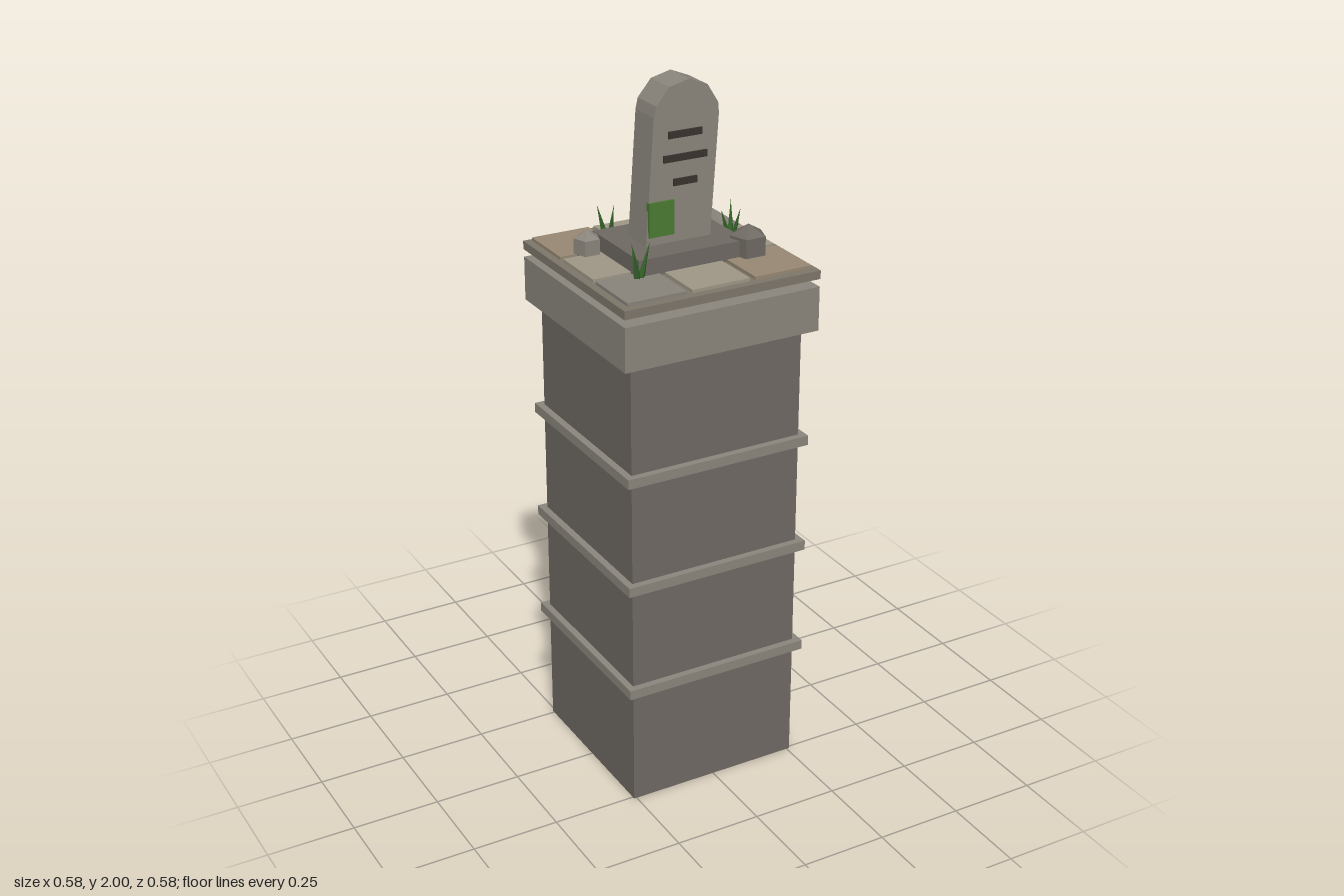
import * as THREE from 'three';

const mat = (color) => new THREE.MeshStandardMaterial({ color, flatShading: true });
const M = {
  dark: mat(0x6e6962), light: mat(0x8a857c), slab: mat(0x7d766a),
  sand: mat(0x978872), pale: mat(0x9e9786), grey: mat(0x88837b),
  ink: mat(0x3a332f), moss: mat(0x4a7a32), grass: mat(0x35622a),
};

export function createModel() {
  const root = new THREE.Group();

  const add = (name, geometry, material, x, y, z) => {
    const mesh = new THREE.Mesh(geometry, material);
    mesh.name = name;
    mesh.position.set(x, y, z);
    root.add(mesh);
    return mesh;
  };
  // box given by its size, bottom height and centre
  const box = (name, material, w, h, d, bottom, x = 0, z = 0) =>
    add(name, new THREE.BoxGeometry(w, h, d), material, x, bottom + h / 2, z);

  // pillar with trim bands and a cap
  box('pillar', M.dark, 0.516, 1.335, 0.516, 0);
  for (const y of [0.345, 0.668, 0.993]) box('band', M.light, 0.556, 0.028, 0.556, y);
  box('cap', M.light, 0.582, 0.125, 0.582, 1.333);

  // floating floor slab with nine paving tiles
  box('floorSlab', M.slab, 0.584, 0.024, 0.584, 1.48);
  const tileColors = [
    [M.sand, M.pale, M.grey],
    [M.pale, M.grey, M.pale],
    [M.grey, M.pale, M.sand],
  ];
  tileColors.forEach((row, j) => row.forEach((material, i) =>
    box('tile', material, 0.172, 0.009, 0.172, 1.507, (i - 1) * 0.188, (j - 1) * 0.188)));

  // plinth under the headstone
  box('plinth', M.dark, 0.324, 0.05, 0.26, 1.511);

  // leaning headstone: straight sides with a faceted round top
  const r = 0.097, spring = 0.339;
  const outline = new THREE.Shape();
  outline.moveTo(-r, -0.012);
  outline.lineTo(r, -0.012);
  outline.lineTo(r, spring);
  for (let k = 2; k >= -2; k--) {
    const a = k * Math.PI / 5;
    outline.lineTo(r * Math.sin(a), spring + r * Math.cos(a));
  }
  outline.lineTo(-r, spring);
  const stone = new THREE.ExtrudeGeometry(outline, { depth: 0.098, bevelEnabled: false });
  stone.translate(0, 0, -0.049);
  add('headstone', stone, M.light, 0, 1.561, 0).rotation.z = -0.07;

  // engraved bars and a moss patch on the front face
  for (const [w, y] of [[0.1, 1.845], [0.13, 1.782], [0.07, 1.716]])
    box('engravedBar', M.ink, w, 0.019, 0.01, y, 0.019, 0.049);
  box('mossPatch', M.moss, 0.075, 0.095, 0.016, 1.585, -0.053, 0.048);

  // five-sided rocks, one corner toward the back
  for (const [radius, x, y, z, material] of [
    [0.058, 0.177, 1.54, 0.113, M.dark],
    [0.043, -0.195, 1.537, -0.098, M.light],
  ]) add('rock', new THREE.SphereGeometry(radius, 5, 3), material, x, y, z).rotation.y = -Math.PI / 2;

  // grass tufts: three thin blades splayed outward
  const up = new THREE.Vector3(0, 1, 0);
  const bladeHeights = [0.085, 0.1, 0.09];
  for (const [x, z, angle] of [
    [-0.098, -0.163, 90], [0.147, -0.139, -4], [0.2, -0.017, 180], [-0.163, 0.128, -97],
  ]) {
    const tuft = new THREE.Group();
    tuft.name = 'grassTuft';
    tuft.position.set(x, 1.513, z);
    bladeHeights.forEach((h, i) => {
      const a = THREE.MathUtils.degToRad(angle + i * 120);
      const lean = new THREE.Vector3(Math.cos(a) * 0.024, h, Math.sin(a) * 0.024);
      const geometry = new THREE.ConeGeometry(0.011, lean.length(), 4);
      geometry.translate(0, lean.length() / 2, 0);
      const blade = new THREE.Mesh(geometry, M.grass);
      blade.name = 'grassBlade';
      blade.position.set(Math.cos(a) * 0.006, 0, Math.sin(a) * 0.006);
      blade.quaternion.setFromUnitVectors(up, lean.normalize());
      tuft.add(blade);
    });
    root.add(tuft);
  }

  return root;
}
